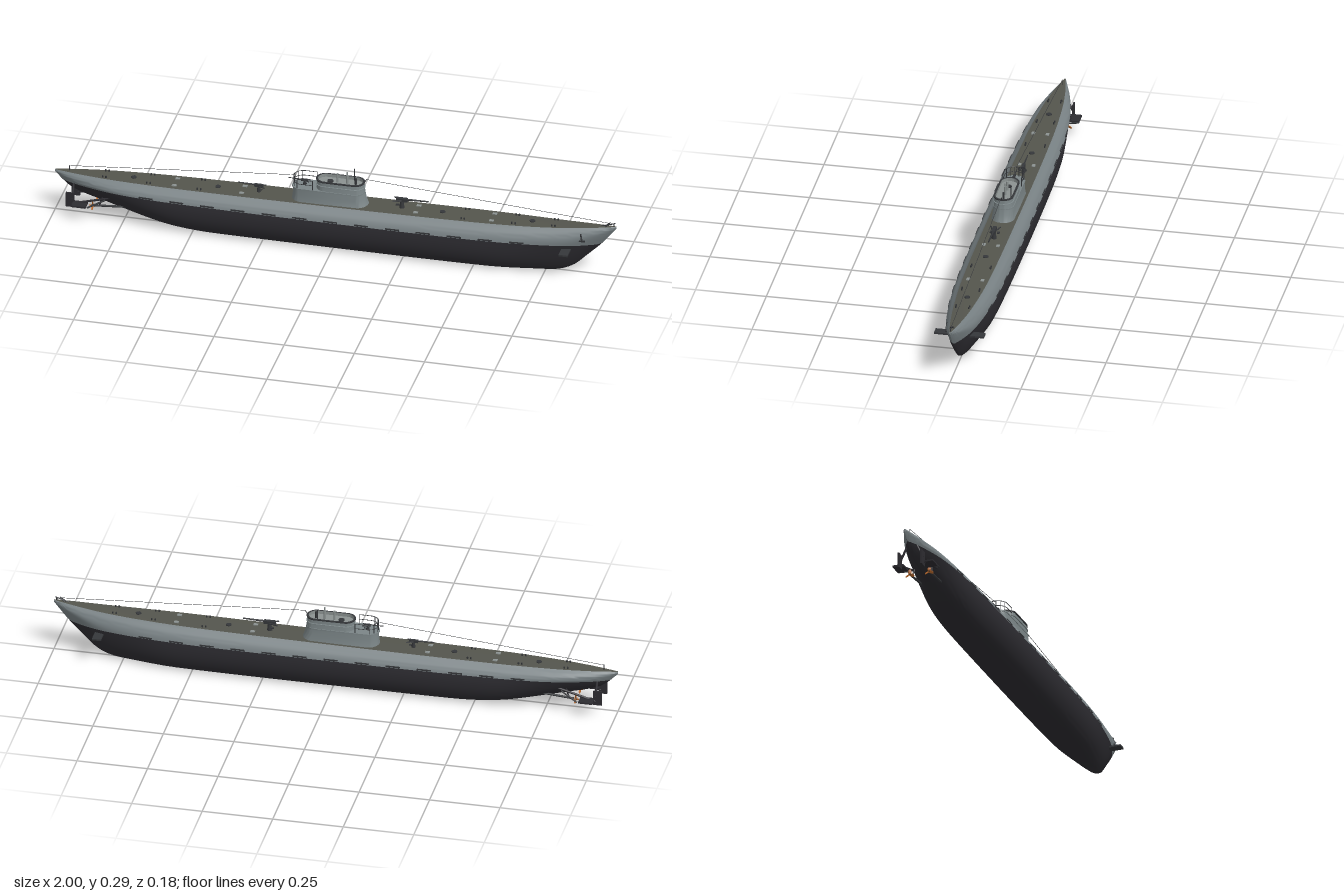
import * as THREE from 'three';
import { toCreasedNormals } from 'three/addons/utils/BufferGeometryUtils.js';

const paint = (name, color) => Object.assign(new THREE.MeshStandardMaterial({ color }), { name });

// Smooth lookup in a table of [position, value] pairs
function lookup(table, x) {
  let i = 0;
  while (i < table.length - 2 && x > table[i + 1][0]) i++;
  const slope = (a, b) => (table[b][1] - table[a][1]) / (table[b][0] - table[a][0]);
  const last = table.length - 1;
  const m0 = slope(Math.max(i - 1, 0), i + 1), m1 = slope(i, Math.min(i + 2, last));
  const h = table[i + 1][0] - table[i][0], t = (x - table[i][0]) / h;
  const t2 = t * t, t3 = t2 * t;
  return (2 * t3 - 3 * t2 + 1) * table[i][1] + (t3 - 2 * t2 + t) * h * m0
    + (3 * t2 - 2 * t3) * table[i + 1][1] + (t3 - t2) * h * m1;
}

// Hull lines along x
const keelLine = [[-1, .146], [-.95, .1], [-.9, .077], [-.8, .053], [-.7, .032], [-.6, .014], [-.5, .003], [-.4, 0],
  [.74, 0], [.8, .006], [.85, .028], [.9, .075], [.95, .125], [1, .186]];
const deckLine = [[-1, .156], [-.5, .161], [0, .165], [.5, .171], [.8, .179], [1, .194]];
const beamLine = [[-1, .003], [-.95, .022], [-.9, .038], [-.8, .06], [-.65, .076], [-.5, .083], [-.25, .087],
  [.25, .087], [.5, .083], [.65, .074], [.8, .055], [.9, .034], [.96, .017], [1, .003]];
// Cross-section fullness from keel (0) to deck (1)
const midSection = [[0, .36], [.03, .56], [.1, .72], [.25, .88], [.4, .97], [.55, 1], [.72, .98], [.87, .84], [.96, .64], [1, .57]];
const endSection = [[0, 0], [.15, .3], [.3, .55], [.6, .9], [.75, 1], [.9, .82], [1, .55]];
const WATER = .12;
const deckY = x => lookup(deckLine, x);
function halfWidth(x, y) {
  const k = lookup(keelLine, x), t = THREE.MathUtils.clamp((y - k) / (deckY(x) - k), 0, 1);
  const mix = THREE.MathUtils.smoothstep(Math.abs(x), .55, .96);
  return lookup(beamLine, x) * THREE.MathUtils.lerp(lookup(midSection, t), lookup(endSection, t), mix);
}

// Surface through rows of points
function skin(rows, crease = .6) {
  const n = rows[0].length, index = [];
  for (let i = 0; i < rows.length - 1; i++) for (let j = 0; j < n - 1; j++) {
    const a = i * n + j, b = a + n;
    index.push(a, b, a + 1, b, b + 1, a + 1);
  }
  const g = new THREE.BufferGeometry();
  g.setAttribute('position', new THREE.Float32BufferAttribute(rows.flat(2), 3));
  g.setIndex(index);
  return toCreasedNormals(g, crease);
}

// Closed round-ended outlines stacked as [y, x0, x1, half width]
const outline = ([y, x0, x1, w], n = 40) => Array.from({ length: n + 1 }, (_, i) => {
  const a = (i % n) / n * Math.PI * 2, c = Math.cos(a);
  return [(x0 + x1) / 2 + Math.sign(Math.abs(c) < 1e-6 ? 0 : c) * ((x1 - x0) / 2 - w) + w * c, y, w * Math.sin(a)];
});
const stack = levels => skin(levels.map(l => outline(l)));

export function createModel() {
  const model = new THREE.Group();
  model.name = 'submarine';
  const lower = paint('lower hull black', 0x2d2c31), grey = paint('upper hull grey', 0x788184),
    deckMat = paint('deck brown grey', 0x54554d), towerMat = paint('tower grey', 0x7b8587),
    dark = paint('dark metal', 0x35373a), pale = paint('fitting grey', 0x8b9291), bronze = paint('bronze', 0xb8692c);

  const add = (name, geo, mat, x = 0, y = 0, z = 0, parent = model) => {
    const m = new THREE.Mesh(geo, mat);
    m.name = name;
    m.position.set(x, y, z);
    parent.add(m);
    return m;
  };
  const box = (name, mat, w, h, d, x, y, z, parent) => add(name, new THREE.BoxGeometry(w, h, d), mat, x, y, z, parent);
  const rod = (name, mat, a, b, r, parent = model, r2 = r) => {
    const p = new THREE.Vector3(...a), q = new THREE.Vector3(...b), d = q.clone().sub(p);
    const m = add(name, new THREE.CylinderGeometry(r2, r, d.length(), 8), mat, 0, 0, 0, parent);
    m.position.copy(p).lerp(q, .5);
    m.quaternion.setFromUnitVectors(new THREE.Vector3(0, 1, 0), d.normalize());
    return m;
  };

  // Hull: bottom, two sides and deck share the same stations
  const xs = Array.from({ length: 81 }, (_, i) => -Math.cos(Math.PI * i / 80));
  const lowRows = [], leftRows = [], rightRows = [], deckRows = [];
  for (const x of xs) {
    const k = lookup(keelLine, x), d = deckY(x), w = Math.min(Math.max(WATER, k), d);
    const low = [], up = [];
    for (let j = 0; j <= 14; j++) {
      const y = k + (w - k) * (j / 14) ** 2;
      low.push([x, y, halfWidth(x, y)]);
    }
    for (let j = 0; j <= 10; j++) {
      const y = w + (d - w) * (1 - (1 - j / 10) ** 1.5);
      up.push([x, y, halfWidth(x, y)]);
    }
    const flip = ([a, b, c]) => [a, b, -c];
    lowRows.push([...low.map(flip).reverse(), ...low]);
    leftRows.push(up);
    rightRows.push(up.map(flip).reverse());
    const e = halfWidth(x, d);
    deckRows.push([[x, d, e], [x, d + .001, 0], [x, d, -e]]);
  }
  add('lowerHull', skin(lowRows, 1), lower);
  add('leftUpperHull', skin(leftRows, 1), grey);
  add('rightUpperHull', skin(rightRows, 1), grey);
  add('deck', skin(deckRows), deckMat);
  const last = deckRows.length - 1;
  for (const i of [0, last]) rod('endCap', grey, [xs[i] * .997, lookup(keelLine, xs[i]), 0], [xs[i] * .997, deckY(xs[i]), 0], .003);

  for (const s of [1, -1]) {
    // Drain slots just above the waterline
    for (let x = -.66; x < .67; x += .11)
      box('drainSlot', dark, .05, .005, .004, x, .124, s * (halfWidth(x, .124) - .0005))
        .rotation.y = -s * Math.atan((halfWidth(x + .02, .124) - halfWidth(x - .02, .124)) / .04);
    // Bow planes
    box('bowPlane', dark, .032, .006, .05, .83, .103, s * .063);
    // Stern gear
    box('sternPlane', lower, .05, .006, .04, -.9, .058, s * .055);
    box('rudder', lower, .03, .055, .005, -.937, .066, s * .042);
    rod('rudderStock', lower, [-.93, .07, s * .042], [-.93, .12, s * .018], .004);
    rod('planeGuard', dark, [-.87, .058, s * .073], [-.81, .085, s * .052], .003);
    rod('sternBeam', lower, [-.93, .052, s * .042], [-.79, .09, s * .04], .004);
    rod('propellerShaft', dark, [-.862, .05, s * .036], [-.7, .062, s * .034], .004);
    rod('shaftStrut', lower, [-.835, .052, s * .036], [-.82, .095, s * .03], .003);
    const prop = new THREE.Group();
    prop.name = 'propeller';
    prop.position.set(-.858, .05, s * .036);
    model.add(prop);
    rod('hub', bronze, [.006, 0, 0], [-.012, 0, 0], .005, prop, .002);
    for (let i = 0; i < 3; i++) {
      const blade = add('blade', new THREE.SphereGeometry(1, 10, 6), bronze, 0, 0, 0, prop);
      blade.scale.set(.0015, .009, .006);
      const a = i * Math.PI * 2 / 3;
      blade.position.set(0, .01 * Math.cos(a), .01 * Math.sin(a));
      blade.rotation.set(a, .5, 0);
    }
    // Bollards and deck plates
    for (const x of [-.82, -.66, -.48, .46, .64, .78]) {
      const z = s * halfWidth(x, deckY(x)) * .72;
      for (const dx of [-.006, .006]) rod('bollard', dark, [x + dx, deckY(x) - .002, z], [x + dx, deckY(x) + .007, z], .0028);
    }
    for (const x of [-.57, -.33, .29, .56]) box('deckPlate', pale, .016, .004, .012, x, deckY(x) + .001, s * .025);
    // Bow net guard legs
    rod('bowGuardLeg', dark, [.96, deckY(.96), s * .007], [.978, .207, 0], .0016);
  }
  // Anchor on the left bow
  rod('anchorShank', dark, [.88, .168, halfWidth(.88, .168) + .001], [.885, .142, halfWidth(.885, .142) + .001], .003);
  box('anchorFlukes', dark, .022, .006, .006, .885, .141, halfWidth(.885, .141));

  // Hatches
  for (const x of [-.72, -.42, .38, .7])
    rod('hatch', dark, [x, deckY(x) - .002, 0], [x, deckY(x) + .004, 0], .01);

  // Conning tower
  const tower = new THREE.Group();
  tower.name = 'tower';
  model.add(tower);
  const P = .212;
  const T = (name, levels, mat = towerMat) => add(name, stack(levels), mat, 0, 0, 0, tower);
  T('towerBase', [[.158, -.156, .12, .042], [.172, -.154, .114, .039], [.19, -.152, .108, .037], [P, -.152, .104, .036]]);
  T('gunPlatform', [[P - .003, -.152, .1, .036], [P - .003, -.155, .104, .038], [P + .002, -.155, .104, .038], [P + .002, -.0501, -.05, .00005]]);
  T('bridgeWall', [[P, -.068, .104, .0355], [.23, -.067, .101, .033], [.245, -.067, .1, .032]]);
  T('bridgeRim', [[.245, -.067, .1, .032], [.246, -.07, .103, .035], [.25, -.07, .103, .035], [.25, -.063, .096, .029]], dark);
  T('bridgeInside', [[.25, -.063, .096, .029], [.238, -.063, .096, .029], [.238, .0159, .016, .00005]], pale);
  T('sprayRail', [[.229, -.068, .101, .033], [.23, -.071, .104, .036], [.232, -.071, .104, .036], [.233, -.068, .101, .033]]);

  // Platform railing follows the aft outline
  const aft = outline([P, -.15, .1, .034]).filter(p => p[0] < -.08);
  const arc = [[-.075, P, .034], ...aft, [-.075, P, -.034]];
  for (const y of [.231, .249]) {
    const path = new THREE.CatmullRomCurve3(arc.map(p => new THREE.Vector3(p[0], y, p[2])));
    add('platformRail', new THREE.TubeGeometry(path, 40, .0013, 6), dark, 0, 0, 0, tower);
  }
  arc.filter((_, i) => i % 3 === 0).concat([arc[arc.length - 1]])
    .forEach(p => rod('railPost', dark, p, [p[0], .249, p[2]], .0013, tower));

  // Periscopes, sight and mast
  rod('attackPeriscope', pale, [.04, .238, 0], [.04, .27, 0], .0045, tower);
  rod('periscopeHead', pale, [.04, .27, 0], [.04, .282, 0], .0025, tower);
  rod('skyPeriscope', pale, [.005, .238, 0], [.005, .272, 0], .004, tower);
  rod('aimingSight', dark, [.07, .238, 0], [.07, .262, 0], .004, tower);
  rod('mast', dark, [.06, .238, -.025], [.06, .284, -.025], .0016, tower);
  rod('bridgeHatch', dark, [-.02, .238, 0], [-.02, .242, 0], .011, tower);

  // Guns: pedestal, cradle, shield arms and barrel
  const gun = (name, x, y, dir, size) => {
    const g = new THREE.Group();
    g.name = name;
    g.position.set(x, y, 0);
    g.scale.set(dir * size, size, dir * size);
    model.add(g);
    rod('pedestal', dark, [0, -.004, 0], [0, .026, 0], .01, g, .006);
    box('cradle', dark, .04, .012, .013, 0, .032, 0, g);
    rod('barrel', dark, [.01, .034, 0], [.095, .036, 0], .0038, g, .0024);
    for (const s of [1, -1]) {
      rod('shoulderArm', dark, [0, .03, s * .006], [-.03, .03, s * .016], .0025, g);
      box('gunnerSeat', dark, .012, .004, .008, -.012, .018, s * .013, g);
    }
  };
  gun('deckGun', .235, deckY(.235), 1, 1);
  gun('aftGun', -.275, deckY(-.275), -1, .78);
  gun('platformGun', -.112, P, -1, .6);

  // Bow net guard and aerial wires
  rod('bowGuard', dark, [.945, deckY(.945), 0], [.995, .206, 0], .002);
  rod('bowGuardPost', dark, [.99, .19, 0], [.99, .205, 0], .002);
  rod('forwardAerialPost', dark, [.098, .245, 0], [.11, .263, 0], .0014);
  rod('forwardAerial', dark, [.11, .262, 0], [.978, .204, 0], .0008);
  rod('aftAerial', dark, [-.148, .247, 0], [-.95, .176, 0], .0008);
  rod('aftAerialPost', dark, [-.95, .154, 0], [-.95, .177, 0], .0014);
  return model;
}
